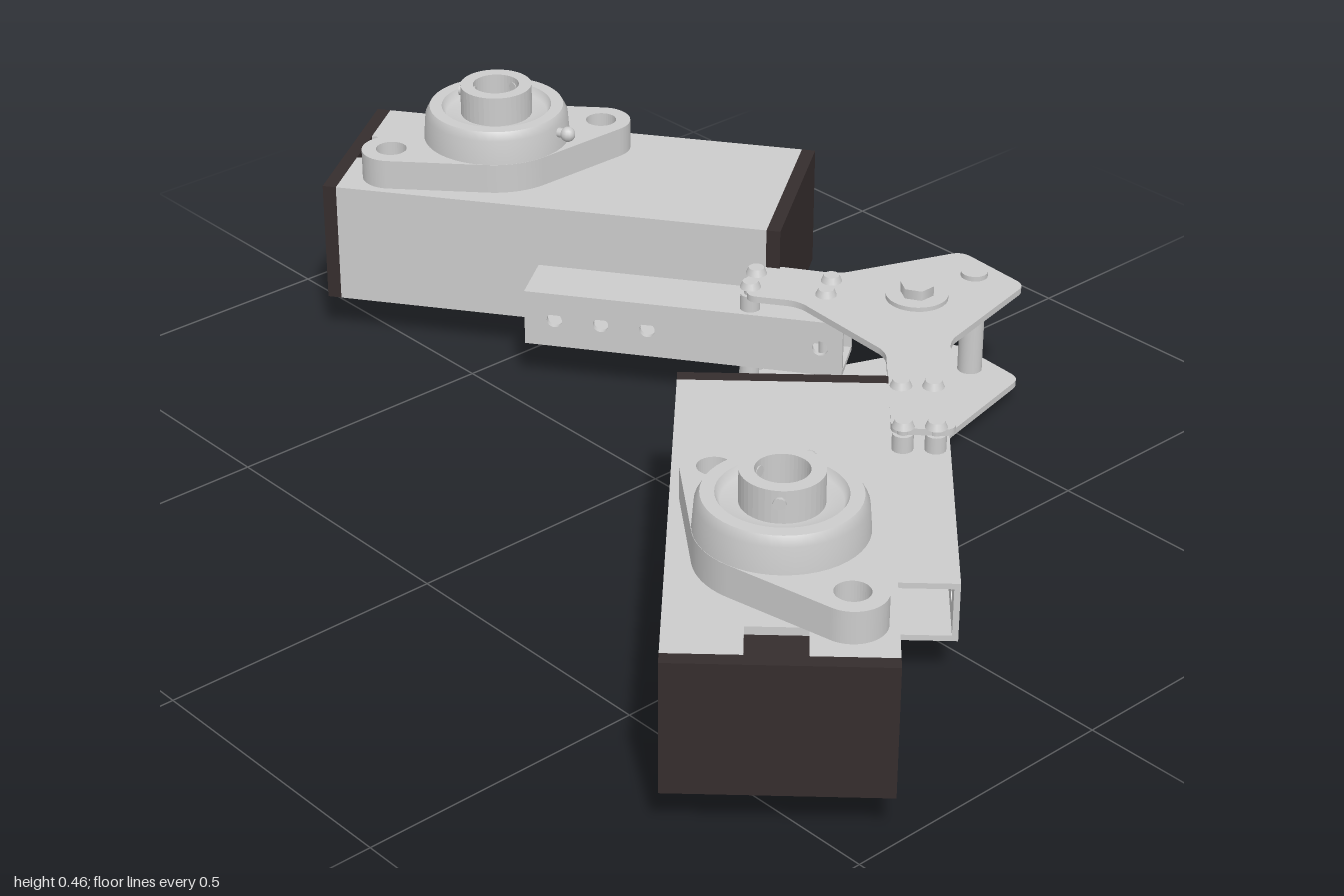
import * as THREE from 'three';

const grey = new THREE.MeshStandardMaterial({ color: 0xcccccc });
const dark = new THREE.MeshStandardMaterial({ color: 0x352d2d });

function add(parent, name, geo, x = 0, y = 0, z = 0, mat = grey) {
  const m = new THREE.Mesh(geo, mat);
  m.name = name;
  m.position.set(x, y, z);
  parent.add(m);
  return m;
}
const box = (w, h, d) => new THREE.BoxGeometry(w, h, d);
const rod = (r, h, n = 20) => new THREE.CylinderGeometry(r, r, h, n);

function polygon(points) {
  return new THREE.Shape(points.map(([x, y]) => new THREE.Vector2(x, y)));
}
function punch(shape, x, y, r) {
  shape.holes.push(new THREE.Path().absarc(x, y, r, 0, Math.PI * 2, true));
}
const extrude = (shape, depth) =>
  new THREE.ExtrudeGeometry(shape, { depth, bevelEnabled: false, curveSegments: 20 });
// Horizontal plate: shape y becomes z, thickness hangs below the origin
const slab = (shape, t) => extrude(shape, t).rotateX(Math.PI / 2);

// Polygon with rounded corners
function rounded(points, r) {
  const s = new THREE.Shape();
  const v = points.map(([x, y]) => new THREE.Vector2(x, y));
  v.forEach((p, i) => {
    const before = v[(i + v.length - 1) % v.length], after = v[(i + 1) % v.length];
    const a = p.clone().add(before.clone().sub(p).setLength(r));
    const b = p.clone().add(after.clone().sub(p).setLength(r));
    if (i === 0) s.moveTo(a.x, a.y); else s.lineTo(a.x, a.y);
    s.quadraticCurveTo(p.x, p.y, b.x, b.y);
  });
  s.closePath();
  return s;
}

// Two-bolt flange bearing, base at y = 0, ears along x
function makeBearing() {
  const g = new THREE.Group();
  g.name = 'flangeBearing';
  const d = 0.2, R = 0.134, r = 0.054, a = Math.acos((R - r) / d), PI = Math.PI;
  const s = new THREE.Shape();
  s.absarc(d, 0, r, -a, a, false);
  s.absarc(0, 0, R, a, PI - a, false);
  s.absarc(-d, 0, r, PI - a, PI + a, false);
  s.absarc(0, 0, R, PI + a, 2 * PI - a, false);
  [-d, d].forEach(x => punch(s, x, 0, 0.028));
  punch(s, 0, 0, 0.045);
  add(g, 'flange', slab(s, 0.055), 0, 0.055);
  // Housing with a shallow dished top
  const housing = [[0.134, 0.05], [0.13, 0.1], [0.122, 0.115], [0.122, 0.115], [0.1, 0.115],
    [0.1, 0.115], [0.092, 0.1], [0.06, 0.1]];
  add(g, 'housing', new THREE.LatheGeometry(housing.map(p => new THREE.Vector2(...p)), 48));
  // Inner ring collar with bore
  const ring = new THREE.Shape().absarc(0, 0, 0.065, 0, PI * 2, false);
  punch(ring, 0, 0, 0.042);
  add(g, 'innerRing', slab(ring, 0.15), 0, 0.155);
  for (const t of [0.6, 2.7]) {
    const screw = add(g, 'setScrew', rod(0.01, 0.03, 10), 0.055 * Math.cos(t), 0.135, 0.055 * Math.sin(t));
    screw.rotation.set(0, -t, Math.PI / 2);
  }
  return g;
}

// Square tube arm, centred in section, running along x from x0 to x1
function makeArm(x0, x1) {
  const g = new THREE.Group();
  g.name = 'squareTubeArm';
  const w = 0.105, t = 0.01, mid = (x0 + x1) / 2, len = x1 - x0;
  const wall = polygon([[x0, -w / 2], [x1, -w / 2], [x1, w / 2], [x0, w / 2]]);
  [0.055, 0.14, 0.225].forEach(k => punch(wall, x1 - k, 0, 0.014));
  punch(wall, x0 + 0.04, 0, 0.014);
  for (const z of [-w / 2, w / 2 - t]) add(g, 'armSideWall', extrude(wall, t), 0, 0, z);
  for (const y of [-1, 1]) add(g, 'armWall', box(len, t, w - 2 * t), mid, y * (w - t) / 2, 0);
  return g;
}

// Vertical bolt clamping the hub plates onto an arm
function makeBolt() {
  const g = new THREE.Group();
  g.name = 'plateBolt';
  add(g, 'boltShank', rod(0.011, 0.225, 12), 0, 0.117);
  add(g, 'boltTip', new THREE.CylinderGeometry(0.011, 0.006, 0.006, 12), 0, 0.003);
  add(g, 'boltHead', new THREE.CylinderGeometry(0.014, 0.019, 0.012, 16), 0, 0.236);
  add(g, 'boltNut', rod(0.019, 0.014, 6), 0, 0.023);
  add(g, 'upperSpacer', rod(0.018, 0.03, 16), 0, 0.203);
  add(g, 'lowerSpacer', rod(0.018, 0.042, 16), 0, 0.063);
  return g;
}

// Box housing with bearing, arm and bolts; +x points away from the hub
function makeUnit() {
  const g = new THREE.Group();
  const L = 0.398, W = 0.172, t = 0.014, y0 = 0.077, y1 = 0.303;
  for (const s of [-1, 1]) {
    add(g, 'housingSide', box(2 * L, y1 - y0 - 2 * t, t), 0, (y0 + y1) / 2, s * (W - t / 2));
    add(g, 'endCap', box(0.025, y1 - y0, 2 * W), s * (L + 0.0125), (y0 + y1) / 2, 0, dark);
  }
  // Top plate with end slot and bore
  const top = polygon([[-L, -W], [L, -W], [L, -0.042], [0.325, -0.042], [0.325, 0.052],
    [L, 0.052], [L, W], [-L, W]]);
  punch(top, 0.14, 0, 0.045);
  add(g, 'housingTop', slab(top, t), 0, y1);
  add(g, 'slotInsert', box(0.09, 0.02, 0.12), 0.353, y1 - t - 0.01, 0.005, dark);
  // Bottom plate with four mounting holes
  const bottom = polygon([[-L, -W], [L, -W], [L, W], [-L, W]]);
  for (const x of [0.04, 0.24]) for (const z of [-0.07, 0.07]) punch(bottom, x, z, 0.008);
  add(g, 'housingBottom', slab(bottom, t), 0, y0 + t);

  const bearing = makeBearing();
  bearing.position.set(0.14, y1, 0);
  bearing.rotation.y = 0.54;
  g.add(bearing);
  // Grease nipple on the hub side of the bearing
  const stem = add(g, 'greaseNippleStem', rod(0.009, 0.04, 10), 0.015, 0.39, -0.035);
  stem.rotation.set(0, -0.27, Math.PI / 2);
  add(g, 'greaseNipple', new THREE.SphereGeometry(0.014, 12, 8), -0.004, 0.39, -0.04);

  const arm = makeArm(-0.557, 0.02);
  arm.position.set(0, 0.135, -0.2245);
  g.add(arm);
  for (const x of [-0.521, -0.386]) for (const z of [-0.198, -0.252]) {
    const b = makeBolt();
    b.position.set(x, 0, z);
    g.add(b);
  }
  return g;
}

// Pair of Y-shaped plates with the pivot and stop posts between
function makeHub() {
  const g = new THREE.Group();
  g.name = 'hub';
  const px = 0.13, pz = -0.497;
  const plate = rounded([[0.062, -0.683], [0.225, -0.672], [0.28, -0.425], [0.498, -0.212],
    [0.422, -0.138], [0.235, -0.315], [0.003, -0.332], [-0.075, -0.277], [-0.145, -0.378],
    [-0.025, -0.458]], 0.022);
  add(g, 'upperPlate', slab(plate, 0.012), 0, 0.23);
  add(g, 'lowerPlate', slab(plate, 0.012), 0, 0.042);
  add(g, 'pivotPost', rod(0.035, 0.18, 32), px, 0.13, pz);
  for (const [r, h, y] of [[0.055, 0.014, 0.049], [0.045, 0.014, 0.062], [0.045, 0.01, 0.213],
    [0.055, 0.008, 0.234], [0.05, 0.012, 0.024]])
    add(g, 'pivotWasher', rod(r, h, 32), px, y, pz);
  add(g, 'pivotHead', rod(0.03, 0.018, 6), px, 0.247, pz);
  add(g, 'pivotEnd', rod(0.03, 0.014, 6), px, 0.012, pz);
  add(g, 'stopPost', rod(0.022, 0.18, 24), 0.14, 0.13, -0.632);
  add(g, 'stopPostHead', rod(0.024, 0.01, 16), 0.14, 0.234, -0.632);
  add(g, 'stopPostEnd', rod(0.02, 0.014, 6), 0.14, 0.024, -0.632);
  return g;
}

export function createModel() {
  const model = new THREE.Group();
  const units = [['rightUnit', -0.553, -0.2875, -2.5215], ['leftUnit', 0.572, 0.254, -0.767]];
  for (const [name, x, z, turn] of units) {
    const u = makeUnit();
    u.name = name;
    u.position.set(x, 0, z);
    u.rotation.y = turn;
    model.add(u);
  }
  model.add(makeHub());
  return model;
}
